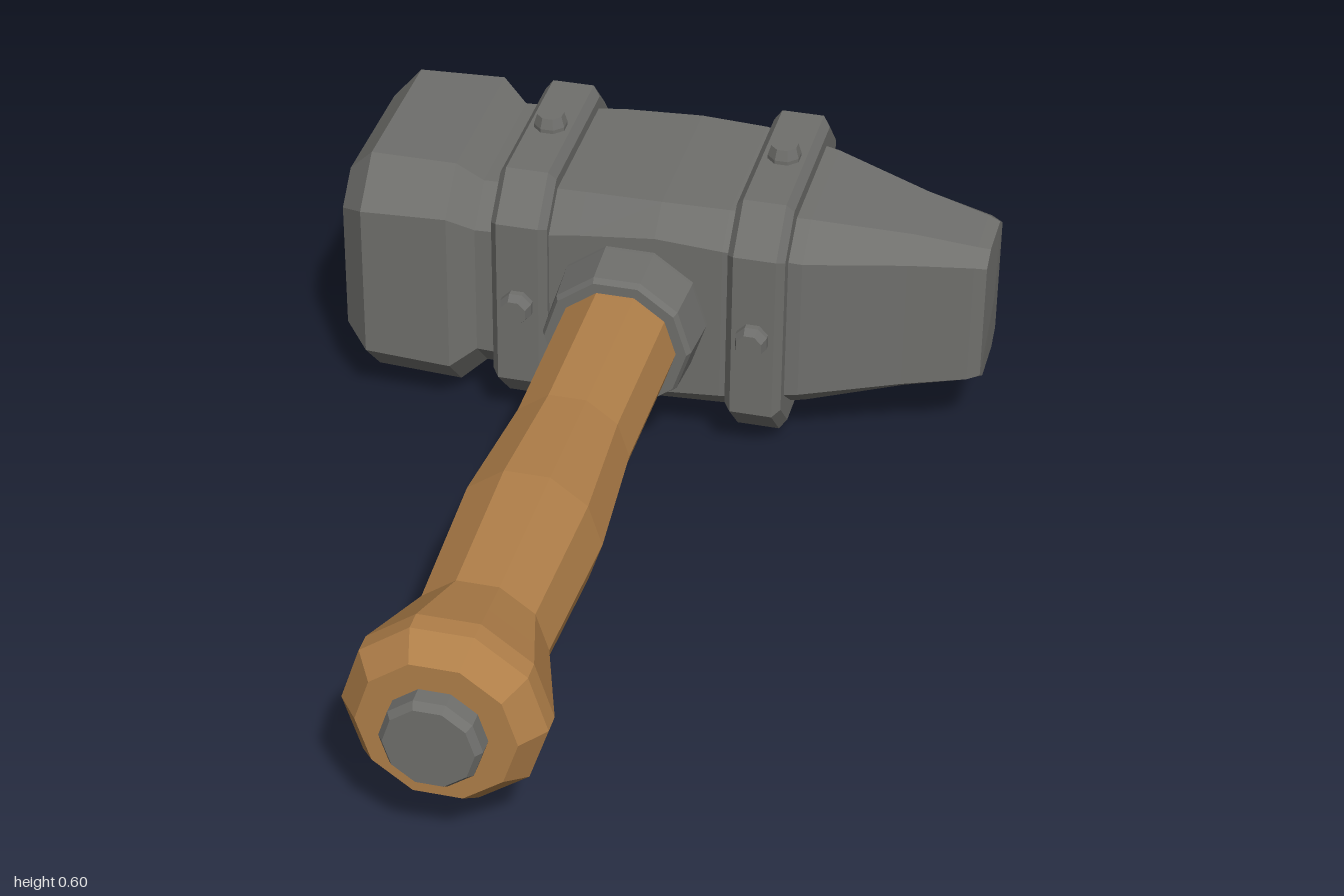
import * as THREE from 'three';

const HEAD_Y = 0.302, HEAD_Z = -0.665, GRIP_X = -0.05;

// Loft of chamfered rectangles along x. Section: [x, halfY, halfZ, chamferY, chamferZ]
function loft(sections, startBulge = 0, endBulge = 0) {
  const pos = [], index = [], n = 8;
  for (const [x, h, w, cy, cz] of sections) {
    const ring = [
      [h, -w + cz], [h, w - cz], [h - cy, w], [-h + cy, w],
      [-h, w - cz], [-h, -w + cz], [-h + cy, -w], [h - cy, -w],
    ];
    for (const [y, z] of ring) pos.push(x, y, z);
  }
  const last = (sections.length - 1) * n;
  for (let r = 0; r < last; r += n) {
    for (let j = 0; j < n; j++) {
      const k = (j + 1) % n;
      index.push(r + j, r + k, r + n + j, r + k, r + n + k, r + n + j);
    }
  }
  // end faces, optionally domed
  const c = pos.length / 3;
  pos.push(sections[0][0] - startBulge, 0, 0, sections[sections.length - 1][0] + endBulge, 0, 0);
  for (let j = 0; j < n; j++) {
    const k = (j + 1) % n;
    index.push(c, k, j, c + 1, last + j, last + k);
  }
  const g = new THREE.BufferGeometry();
  g.setAttribute('position', new THREE.Float32BufferAttribute(pos, 3));
  g.setIndex(index);
  g.computeVertexNormals();
  return g;
}

// Faceted turning along z. Profile: [radius, z]
function turned(profile, sides = 10) {
  const pts = profile.map(([r, z]) => new THREE.Vector2(r, z));
  return new THREE.LatheGeometry(pts, sides).rotateY(Math.PI / 2).rotateX(Math.PI / 2);
}

export function createModel() {
  const steel = new THREE.MeshStandardMaterial({ color: 0x6f6f6c, flatShading: true });
  const wood = new THREE.MeshStandardMaterial({ color: 0xb07f49, flatShading: true });
  steel.name = 'steel';
  wood.name = 'wood';

  const model = new THREE.Group();
  model.name = 'hammer';
  const add = (name, geometry, material, parent = model) => {
    const mesh = new THREE.Mesh(geometry, material);
    mesh.name = name;
    parent.add(mesh);
    return mesh;
  };

  // Head: striking face, neck, body and tapered peen
  const head = new THREE.Group();
  head.name = 'head';
  head.position.set(0, HEAD_Y, HEAD_Z);
  model.add(head);
  add('headBlock', loft([
    [-0.667, 0.2, 0.212, 0.06, 0.06],
    [-0.612, 0.26, 0.265, 0.09, 0.09],
    [-0.43, 0.264, 0.266, 0.085, 0.085],
    [-0.378, 0.22, 0.236, 0.075, 0.075],
    [-0.28, 0.224, 0.236, 0.075, 0.075],
    [-0.16, 0.232, 0.236, 0.065, 0.065],
    [0, 0.237, 0.237, 0.052, 0.06],
    [0.14, 0.235, 0.235, 0.06, 0.065],
    [0.3, 0.22, 0.215, 0.062, 0.075],
    [0.5, 0.184, 0.143, 0.04, 0.058],
    [0.63, 0.16, 0.105, 0.025, 0.042],
    [0.655, 0.154, 0.093, 0.025, 0.038],
  ], 0.003, 0.006), steel, head);

  // Two bands, each with four bolts
  for (const [side, x] of [['right', -0.28], ['left', 0.213]]) {
    const band = new THREE.Group();
    band.name = side + 'Band';
    band.position.x = x;
    head.add(band);
    add('strap', loft([
      [-0.059, 0.253, 0.248, 0.075, 0.075],
      [-0.044, 0.272, 0.267, 0.085, 0.085],
      [0.044, 0.272, 0.267, 0.085, 0.085],
      [0.059, 0.253, 0.248, 0.075, 0.075],
    ]), steel, band);
    for (let i = 0; i < 4; i++) {
      const bolt = turned([[0.035, 0.2], [0.035, 0.28], [0.028, 0.302], [0, 0.302]], 8);
      bolt.rotateZ(Math.PI / 8);
      add('bolt', bolt.rotateX(i * Math.PI / 2), steel, band);
    }
  }

  // Handle: turned grip, collar, pommel cap and the stub behind the head
  const handle = new THREE.Group();
  handle.name = 'handle';
  handle.position.set(GRIP_X, HEAD_Y - 0.002, 0);
  model.add(handle);
  add('grip', turned([
    [0.126, -0.5], [0.126, -0.3], [0.123, 0.06], [0.145, 0.35], [0.132, 0.68],
    [0.168, 0.79], [0.191, 0.86], [0.191, 0.9], [0.15, 0.953], [0, 0.953],
  ]), wood, handle);
  add('stub', turned([
    [0, -0.998], [0.142, -0.998], [0.152, -0.985], [0.152, -0.92], [0.145, -0.85],
  ]), wood, handle);
  add('collar', turned([
    [0.162, -0.5], [0.162, -0.42], [0.155, -0.32], [0.148, -0.306], [0.12, -0.306],
  ]), steel, handle);
  add('pommelCap', turned([
    [0.096, 0.93], [0.096, 0.985], [0.085, 1], [0, 1],
  ]), steel, handle);

  return model;
}
